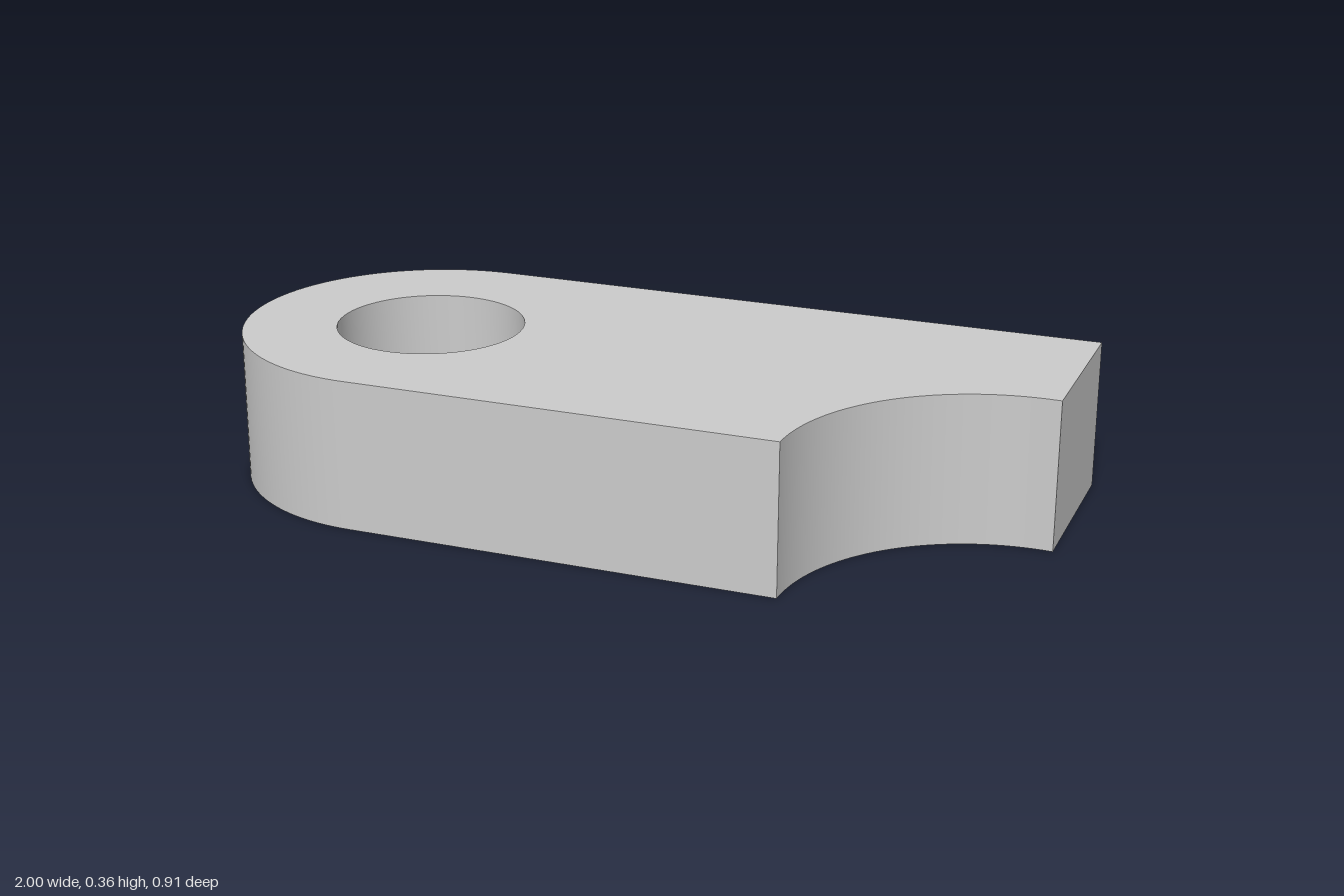
import * as THREE from 'three';
import { toCreasedNormals } from 'three/addons/utils/BufferGeometryUtils.js';

export function createModel() {
  const group = new THREE.Group();
  group.name = 'linkPlate';

  const half = 0.4545, height = 0.364; // half width and thickness
  const endX = -0.5455;                // centre of the rounded end and its hole
  const notchX = 0.97, notchR = 0.472; // circle cut from the front corner

  // Outline in plan: rounded end on one side, scooped corner on the other
  const outline = new THREE.Shape();
  outline.moveTo(1, half);
  outline.lineTo(endX, half);
  outline.absarc(endX, 0, half, Math.PI / 2, Math.PI * 1.5, false);
  outline.lineTo(notchX - notchR, -half);
  outline.absarc(notchX, -half, notchR, Math.PI, Math.acos((1 - notchX) / notchR), true);
  outline.closePath();

  // Through hole
  const hole = new THREE.Path();
  hole.absarc(endX, 0, 0.2275, 0, Math.PI * 2, true);
  outline.holes.push(hole);

  // Lay the extrusion flat and smooth its curved walls
  const extruded = new THREE.ExtrudeGeometry(outline, {
    depth: height, bevelEnabled: false, curveSegments: 32,
  });
  extruded.rotateX(-Math.PI / 2);
  const plate = new THREE.Mesh(
    toCreasedNormals(extruded, 0.6),
    new THREE.MeshStandardMaterial({ color: 0xcccccc }),
  );
  plate.name = 'plate';
  group.add(plate);
  return group;
}
